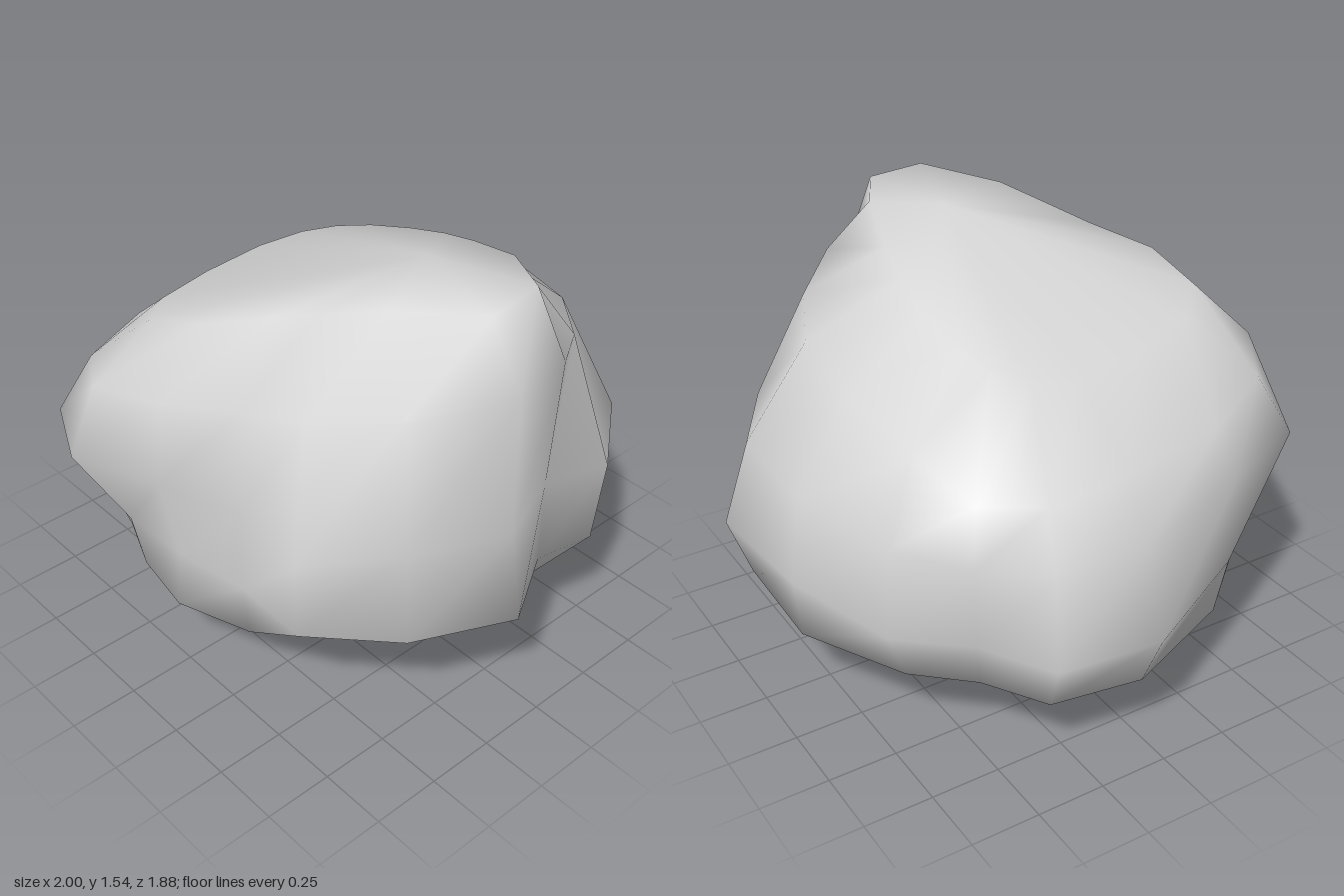
import * as THREE from 'three';

// Directions of the ridges and valleys, in degrees from +x turning towards +z
const ANGLES = [8, 30, 51, 68, 90, 109, 126, 150, 182, 203, 218, 236, 265, 293, 316, 338, 351];
const SIDES = ANGLES.length;

// Cross-sections from bottom to top: height at the axis, slope along x, and
// the radius in each of the directions above.
const RINGS = [
  { y: 0.1, slope: -0.1, r: [.52, .48, .42, .48, .52, .58, .66, .71, .78, .72, .6, .5, .48, .52, .56, .52, .48] },
  { y: 0.28, slope: 0, r: [.78, .73, .68, .74, .78, .78, .8, .83, .9, .92, .8, .82, .88, .94, .84, .76, .72] },
  { y: 0.5, slope: 0, r: [1.01, .97, .93, .77, .76, .82, .88, .87, 1, 1.04, .9, .93, .9, 1.02, .95, .95, .85] },
  { y: 0.82, slope: 0, r: [.95, .92, .97, .77, .82, 1, 1.01, .87, .9, .98, .94, .9, .86, .92, .95, .98, .85] },
  { y: 1.14, slope: 0.2, r: [.94, .87, .8, .74, .8, .9, .88, .79, .76, .84, .86, .72, .65, .69, .74, .82, .88] },
  { y: 1.36, slope: 0.3, r: [.79, .59, .52, .52, .62, .68, .62, .51, .48, .48, .45, .39, .34, .36, .43, .6, .76] },
];

// Closed skin over the cross-sections, capped by a point at each end
function boulderGeometry(rings, bottom, top) {
  const positions = [];
  const index = [];
  for (const { y, slope, r } of rings) {
    r.forEach((radius, j) => {
      const t = THREE.MathUtils.degToRad(ANGLES[j]);
      const x = Math.cos(t) * radius;
      positions.push(x, Math.min(y + slope * x, 1.54), Math.sin(t) * radius);
    });
  }
  const bottomId = rings.length * SIDES;
  const topId = bottomId + 1;
  positions.push(...bottom, ...top);

  for (let j = 0; j < SIDES; j++) {
    const k = (j + 1) % SIDES;
    for (let i = 0; i < rings.length - 1; i++) {
      const a = i * SIDES, b = a + SIDES;
      index.push(a + j, b + j, a + k, a + k, b + j, b + k);
    }
    const last = bottomId - SIDES;
    index.push(bottomId, j, k, topId, last + k, last + j);
  }

  const geometry = new THREE.BufferGeometry();
  geometry.setAttribute('position', new THREE.Float32BufferAttribute(positions, 3));
  geometry.setIndex(index);
  geometry.computeVertexNormals();
  return geometry;
}

export function createModel() {
  const group = new THREE.Group();
  group.name = 'rock';
  const stone = new THREE.MeshStandardMaterial({ color: 0xd6d6d6 });
  stone.name = 'grey stone';

  const boulder = new THREE.Mesh(boulderGeometry(RINGS, [-0.09, 0, 0.25], [0.38, 1.53, -0.02]), stone);
  boulder.name = 'boulder';
  group.add(boulder);
  return group;
}
